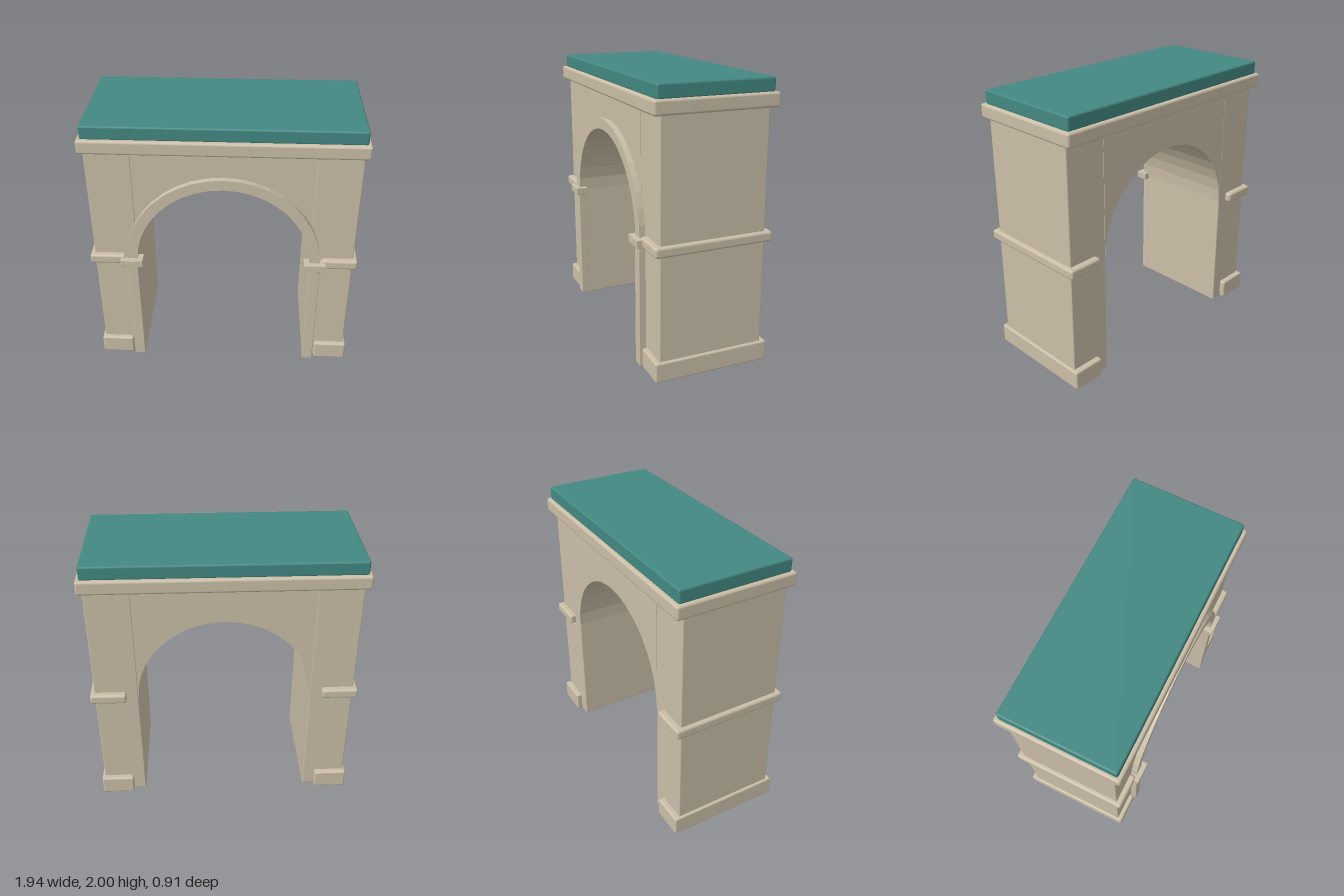
import * as THREE from 'three';
import { RoundedBoxGeometry } from 'three/addons/geometries/RoundedBoxGeometry.js';

const SPRING = 0.925; // height where the arch starts to curve
const RADIUS = 0.623; // opening radius
const FRONT = 0.377, BACK = -0.392;

export function createModel() {
  const model = new THREE.Group();
  model.name = 'archway';
  const stone = new THREE.MeshStandardMaterial({ name: 'sandstone', color: 0xcabea7 });
  const teal = new THREE.MeshStandardMaterial({ name: 'teal roof', color: 0x438882 });

  const add = (name, geometry, material) => {
    const mesh = new THREE.Mesh(geometry, material);
    mesh.name = name;
    model.add(mesh);
    return mesh;
  };

  // Block given by its limits, with softened edges of radius r (0 = sharp)
  const block = (name, [x0, x1], [y0, y1], [z0, z1], r, material = stone) => {
    const size = [x1 - x0, y1 - y0, z1 - z0];
    const geometry = r > 0 ? new RoundedBoxGeometry(...size, 2, r) : new THREE.BoxGeometry(...size);
    add(name, geometry, material).position.set((x0 + x1) / 2, (y0 + y1) / 2, (z0 + z1) / 2);
  };

  // Flat shape pushed out between two depths
  const slab = (name, shape, z0, z1) => {
    const geometry = new THREE.ExtrudeGeometry(shape, { depth: z1 - z0, bevelEnabled: false, curveSegments: 10 });
    geometry.translate(0, 0, z0);
    add(name, geometry, stone);
  };

  // Two mirrored legs with their trim
  for (const [side, s] of [['left', 1], ['right', -1]]) {
    const span = (a, b) => (s > 0 ? [a, b] : [-b, -a]);
    block(side + 'Pier', span(0.625, 0.94), [0, 1.82], [BACK, FRONT], 0.008);
    block(side + 'Base', span(0.715, 0.959), [0, 0.145], [-0.434, 0.413], 0.014);
    block(side + 'Band', span(0.71, 0.97), [0.895, 0.968], [-0.438, 0.42], 0.018);
    block(side + 'Pilaster', span(0.624, 0.702), [0, 0.9], [0.36, 0.425], 0.005);
    block(side + 'Impost', span(0.583, 0.743), [0.895, 0.95], [0.365, 0.455], 0.003);
  }

  // Wall above the opening
  const wall = new THREE.Shape();
  wall.moveTo(-0.626, SPRING);
  wall.lineTo(-RADIUS, SPRING);
  wall.absarc(0, SPRING, RADIUS, Math.PI, 0, true);
  wall.lineTo(0.626, SPRING);
  wall.lineTo(0.626, 1.82);
  wall.lineTo(-0.626, 1.82);
  wall.closePath();
  slab('archWall', wall, BACK, FRONT);

  // Raised arch moulding on the front
  const ring = new THREE.Shape();
  ring.absarc(0, SPRING, 0.7, 0, Math.PI, false);
  ring.absarc(0, SPRING, RADIUS, Math.PI, 0, true);
  ring.closePath();
  slab('archMoulding', ring, 0.365, 0.419);

  // Cornice and roof slab
  block('cornice', [-0.97, 0.97], [1.805, 1.906], [-0.453, 0.43], 0.018);
  block('roof', [-0.945, 0.945], [1.9, 2], [-0.426, 0.402], 0.014, teal);

  return model;
}
